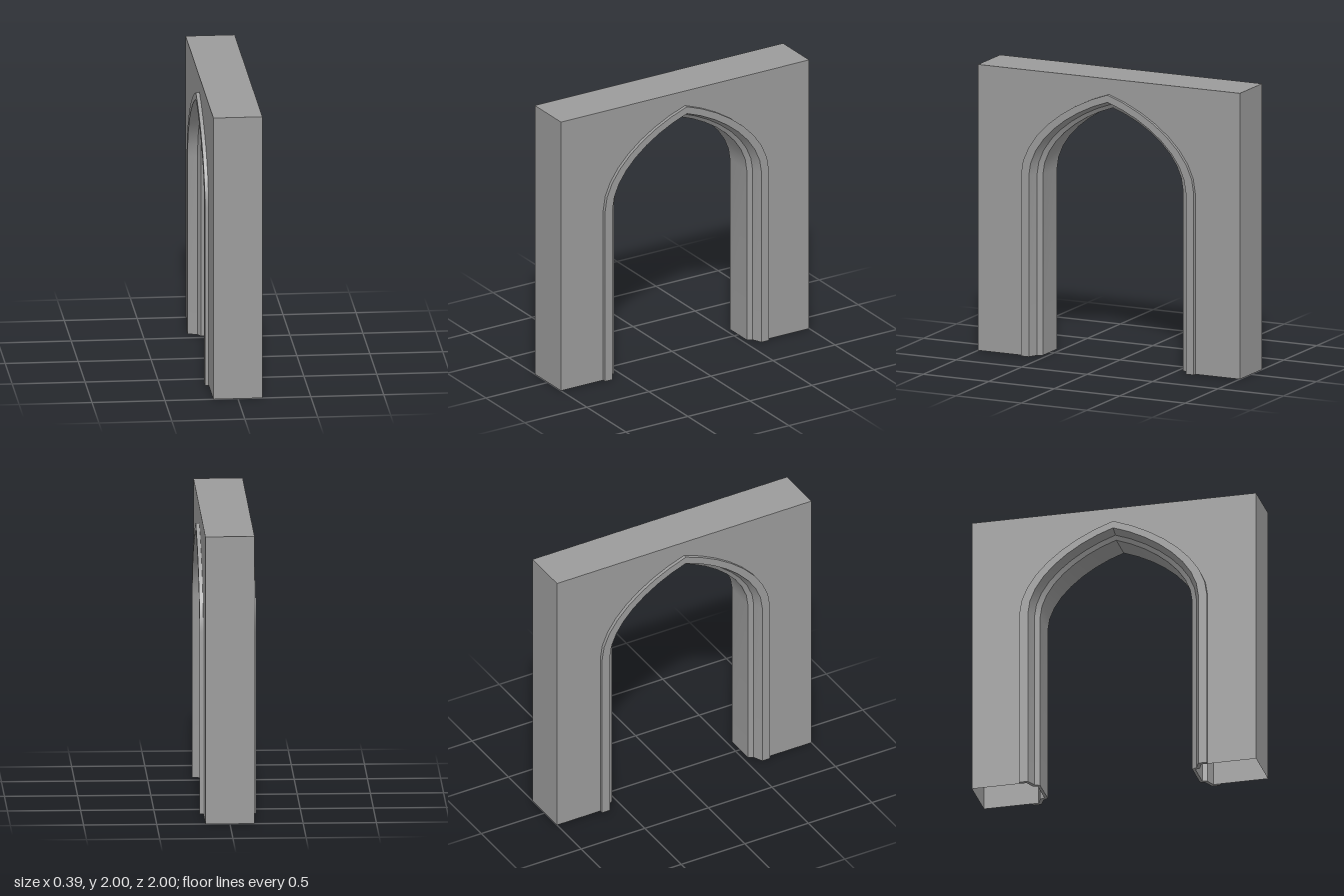
import * as THREE from 'three';
import { toCreasedNormals } from 'three/addons/utils/BufferGeometryUtils.js';

const WALL_X = 0.168;   // half thickness of the wall
const SPRING = 1.265;   // height where the arch starts
const ARCH_STEPS = 8;   // segments per half arch

const material = new THREE.MeshStandardMaterial({ color: 0x9b9b9b, side: THREE.DoubleSide });

// Half of the outermost arch curve, from springing to apex (z, y)
const arch = new THREE.CubicBezierCurve(
  new THREE.Vector2(0.66, SPRING), new THREE.Vector2(0.655, 1.535),
  new THREE.Vector2(0.34, 1.785), new THREE.Vector2(0, 1.892),
).getPoints(ARCH_STEPS);

// Pointed arch path from foot to foot, moved inwards by d
function archPath(d) {
  const sz = 1 - d / 0.66;
  const sy = 1 - (0.85 * d) / 0.627;
  const half = [[0.66 * sz, 0], ...arch.map((p) => [p.x * sz, SPRING + (p.y - SPRING) * sy])];
  const other = half.slice(0, -1).reverse().map(([z, y]) => [-z, y]);
  return [...half, ...other];
}

// Wall face with the arched opening cut up from the ground
function wallFace() {
  const shape = new THREE.Shape();
  shape.moveTo(-1, 0);
  shape.lineTo(-1, 2);
  shape.lineTo(1, 2);
  shape.lineTo(1, 0);
  archPath(0.03).forEach(([z, y]) => shape.lineTo(z, y));
  return new THREE.ShapeGeometry(shape);
}

// Trim section as [x, distance inwards]: stepped front, then hidden back
const front = [[WALL_X, 0], [0.193, 0], [0.193, 0.06], [0.127, 0.09], [0.108, 0.125]];
const back = [[0.098, 0.105], [0.105, 0.072], [WALL_X, 0.045]];
const mirrorX = (pts) => pts.map(([x, d]) => [-x, d]).reverse();
const section = [...front, ...mirrorX(front), ...mirrorX(back), ...back];

// Sweep the closed section along the arch, smooth along its length
function trimSweep() {
  const rails = section.map(([x, d]) => archPath(d).map(([z, y]) => [x, y, z]));
  const positions = [];
  const n = rails.length;
  for (let j = 0; j < n; j++) {
    const p = rails[j];
    const q = rails[(j + 1) % n];
    for (let i = 0; i < p.length - 1; i++) {
      positions.push(...p[i], ...q[i], ...q[i + 1], ...p[i], ...q[i + 1], ...p[i + 1]);
    }
  }
  const geometry = new THREE.BufferGeometry();
  geometry.setAttribute('position', new THREE.Float32BufferAttribute(positions, 3));
  return toCreasedNormals(geometry, 0.42);
}

// Underside of one trim foot
function trimFoot(side) {
  const pts = section.map(([x, d]) => new THREE.Vector2(x, side * (0.66 - d)));
  return new THREE.ShapeGeometry(new THREE.Shape(pts)).rotateX(Math.PI / 2);
}

export function createModel() {
  const model = new THREE.Group();
  model.name = 'archway';
  const wall = new THREE.Group();
  wall.name = 'wall';
  const trim = new THREE.Group();
  trim.name = 'archTrim';
  model.add(wall, trim);

  const add = (parent, name, geometry) => {
    const mesh = new THREE.Mesh(geometry, material);
    mesh.name = name;
    parent.add(mesh);
  };

  // Hollow wall, open underneath
  for (const s of [1, -1]) {
    add(wall, s > 0 ? 'leftWallFace' : 'rightWallFace',
      wallFace().rotateY((s * Math.PI) / 2).translate(s * WALL_X, 0, 0));
    add(wall, s > 0 ? 'frontWallEnd' : 'backWallEnd',
      new THREE.PlaneGeometry(2 * WALL_X, 2).rotateY(s > 0 ? 0 : Math.PI).translate(0, 1, s));
  }
  add(wall, 'wallTop',
    new THREE.PlaneGeometry(2 * WALL_X, 2).rotateX(-Math.PI / 2).translate(0, 2, 0));

  // Moulded lining of the opening
  add(trim, 'trimMoulding', trimSweep());
  add(trim, 'frontTrimFoot', trimFoot(1));
  add(trim, 'backTrimFoot', trimFoot(-1));
  return model;
}
